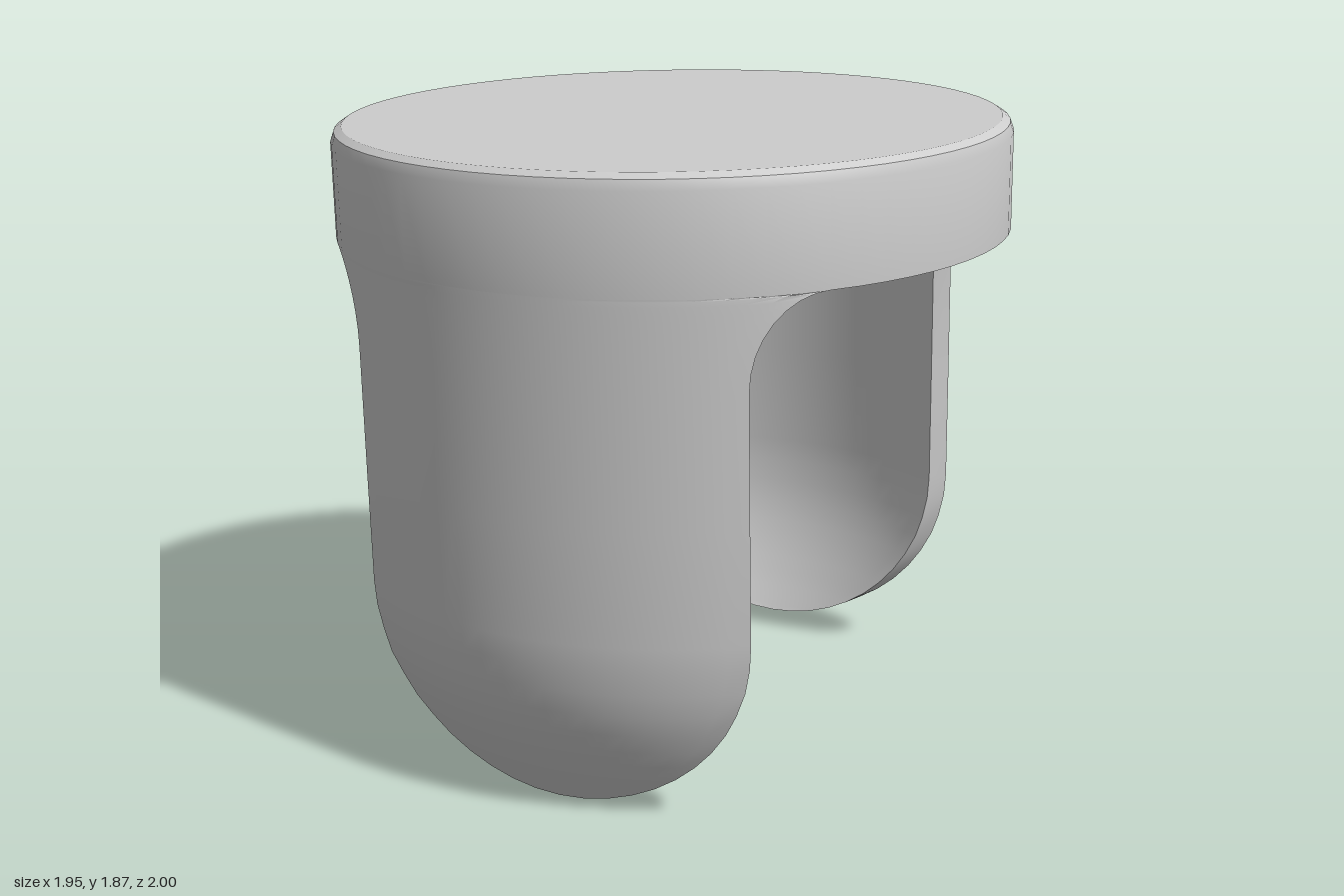
import * as THREE from 'three';
import { toCreasedNormals } from 'three/addons/utils/BufferGeometryUtils.js';

const R = 0.977;                  // outer radius of the shell
const WALL = 0.065;               // wall thickness
const HALF = 0.59;                // half width of a leg
const RIM = 1.52;                 // underside of the collar
const SEGMENTS = 72;              // sides of the full circle
const STEP = 2 * Math.PI / SEGMENTS;
const LEG_STEPS = 20;             // circle steps spanned by the top of a leg
const TOP_ANGLE = LEG_STEPS / 2 * STEP;

// Outer radius by height: the leg tip curls inwards
const TAPER = [[0.03, 0.785], [0.13, 0.845], [0.25, 0.905], [0.37, 0.948], [0.5, 0.971], [0.6, R]];
function radiusAt(y) {
  for (let i = 1; i < TAPER.length; i++) {
    const [y0, r0] = TAPER[i - 1], [y1, r1] = TAPER[i];
    if (y <= y1) return r0 + (r1 - r0) * (y - y0) / (y1 - y0);
  }
  return R;
}

// Rows of a leg as [height, half angle]
function legRows() {
  const rows = [];
  // rounded tip
  for (let i = 0; i <= 12; i++) {
    const t = (i / 12) * Math.PI / 2;
    const y = 0.58 - 0.55 * Math.cos(t);
    rows.push([y, Math.asin(HALF * Math.sin(t) / radiusAt(y))]);
  }
  // straight sides
  const side = Math.asin(HALF / R);
  rows.push([0.9, side]);
  // fillet flaring into the collar
  for (let i = 0; i <= 8; i++) {
    const t = (i / 8) * Math.PI / 2;
    rows.push([1.27 + (RIM - 1.27) * Math.sin(t), side + (TOP_ANGLE - side) * (1 - Math.cos(t))]);
  }
  return rows;
}

// Curved plate: each row is a closed loop along the outer and inner arcs
function legGeometry() {
  const n = LEG_STEPS, rows = legRows(), pos = [], index = [], loop = 2 * (n + 1);
  for (const [y, a] of rows) {
    const r = radiusAt(y);
    for (let k = 0; k < loop; k++) {
      const outer = k <= n;
      const u = outer ? k / n : (loop - 1 - k) / n;
      const angle = a * (2 * u - 1), rad = outer ? r : r - WALL;
      pos.push(rad * Math.sin(angle), y, rad * Math.cos(angle));
    }
  }
  for (let i = 0; i < rows.length - 1; i++) {
    for (let k = 0; k < loop; k++) {
      const a = i * loop + k, b = i * loop + (k + 1) % loop;
      index.push(a, b, b + loop, a, b + loop, a + loop);
    }
  }
  const g = new THREE.BufferGeometry();
  g.setAttribute('position', new THREE.Float32BufferAttribute(pos, 3));
  g.setIndex(index);
  return toCreasedNormals(g, 0.6);
}

// Turned surface from a profile of [radius, height]
function turned(profile, segments = SEGMENTS, start = 0) {
  const points = profile.map(([x, y]) => new THREE.Vector2(x, y));
  return toCreasedNormals(new THREE.LatheGeometry(points, segments, start, segments * STEP), 0.4);
}

export function createModel() {
  const grey = new THREE.MeshStandardMaterial({ color: 0xcccccc });
  grey.name = 'grey';

  // The whole piece leans slightly forward
  const body = new THREE.Group();
  body.name = 'body';
  body.rotation.x = 0.037;
  body.position.z = -0.046;

  const add = (name, geometry, turn = 0) => {
    const mesh = new THREE.Mesh(geometry, grey);
    mesh.name = name;
    mesh.rotation.y = turn;
    body.add(mesh);
  };

  // Round lid with a bevelled top edge, and its hollow inside
  add('collar', turned([[R, RIM], [R, 1.795], [0.967, 1.823], [0.945, 1.837], [0, 1.837]]));
  add('collarInside', turned([[0, 1.77], [R - WALL, 1.77], [R - WALL, RIM]]));

  // Undersides of the collar between the legs
  const underside = turned([[R - WALL, RIM], [R, RIM]], SEGMENTS / 2 - LEG_STEPS, TOP_ANGLE);
  add('leftUnderside', underside);
  add('rightUnderside', underside, Math.PI);

  // Front and back legs
  const leg = legGeometry();
  add('frontLeg', leg);
  add('backLeg', leg, Math.PI);

  const model = new THREE.Group();
  model.name = 'cap';
  model.add(body);
  return model;
}
